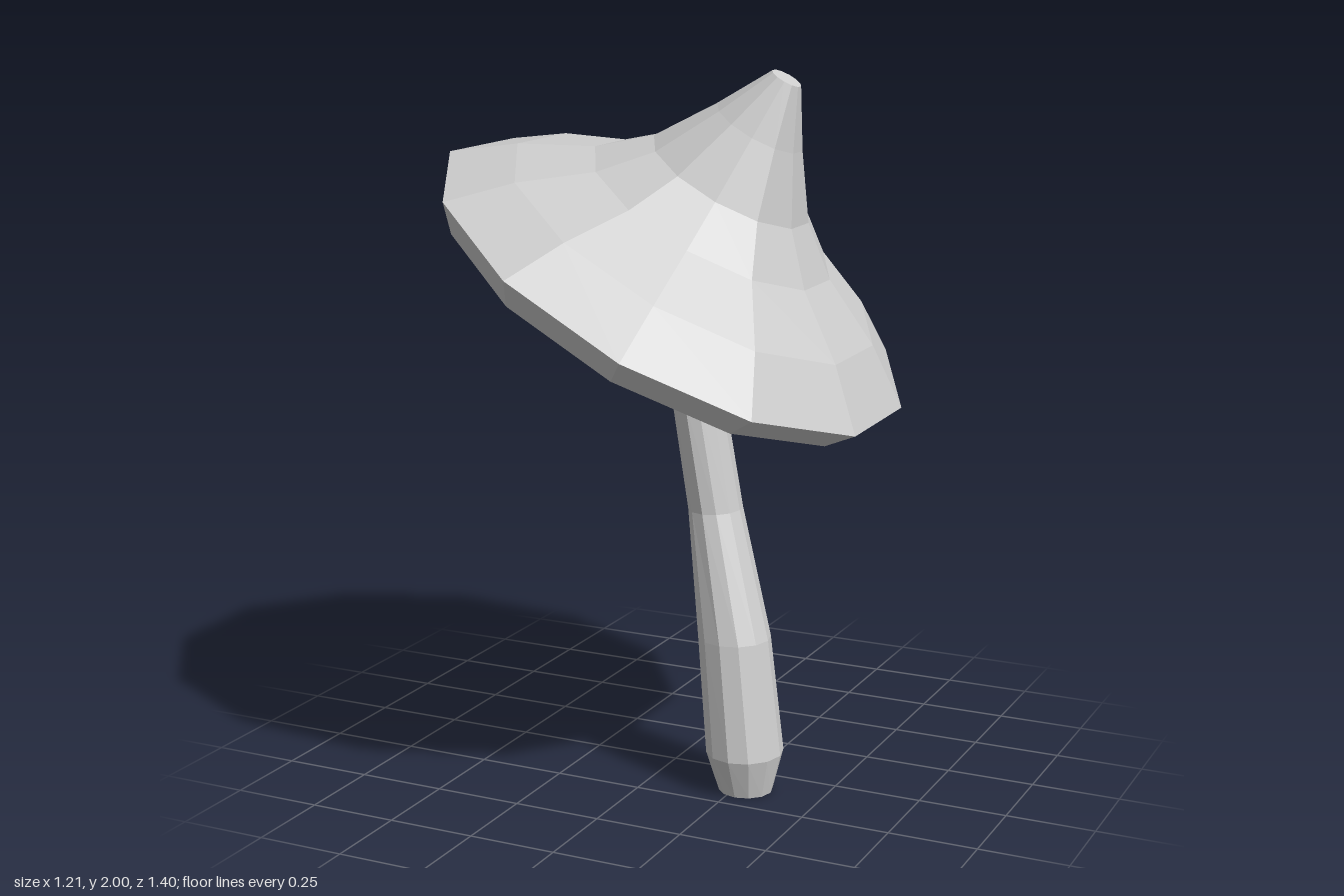
import * as THREE from 'three';

// Skin a stack of rings. Each ring: centre x, y, z, radii rx, rz, and a slope of y along x.
function loft(rings, sides, phase) {
  const pos = [], idx = [];
  for (const { x = 0, y, z = 0, rx, rz = rx, slope = 0 } of rings) {
    for (let i = 0; i < sides; i++) {
      const a = phase + (i / sides) * Math.PI * 2;
      const px = x + rx * Math.cos(a);
      pos.push(px, y + slope * px, z + rz * Math.sin(a));
    }
  }
  for (let j = 0; j < rings.length - 1; j++) {
    for (let i = 0; i < sides; i++) {
      const k = (i + 1) % sides;
      const a = j * sides + i, b = j * sides + k, c = a + sides, d = b + sides;
      if (rings[j + 1].rx > 0) idx.push(a, c, d);
      if (rings[j].rx > 0) idx.push(a, d, b);
    }
  }
  const g = new THREE.BufferGeometry();
  g.setAttribute('position', new THREE.Float32BufferAttribute(pos, 3));
  g.setIndex(idx);
  g.computeVertexNormals();
  return g;
}

export function createModel() {
  const group = new THREE.Group();
  const material = new THREE.MeshStandardMaterial({ color: 0xcccccc, flatShading: true });

  // Cap: shallow hollow underside, slightly skewed lip, thick rim, flared cone with a blunt tip
  const cap = new THREE.Mesh(loft([
    { y: -0.005, rx: 0 },
    { x: 0.06, y: -0.105, rx: 0.56, slope: 0.035 },
    { y: -0.08, rx: 0.66 },
    { y: 0, rx: 0.722 },
    { y: 0.118, rx: 0.564 },
    { y: 0.222, rx: 0.37 },
    { y: 0.333, rx: 0.242 },
    { y: 0.5, rx: 0.132 },
    { y: 0.653, rx: 0.044 },
    { y: 0.653, rx: 0 },
  ], 12, Math.PI / 12 - 0.02), material);
  cap.name = 'cap';
  cap.position.set(0, 1.413, 0);
  cap.rotation.z = -0.526;
  group.add(cap);

  // Stem: bent, thicker towards the foot
  const stem = new THREE.Mesh(loft([
    { x: 0.278, y: 0, z: 0.125, rx: 0 },
    { x: 0.278, y: 0, z: 0.125, rx: 0.076 },
    { x: 0.27, y: 0.11, z: 0.115, rx: 0.108, rz: 0.115 },
    { x: 0.222, y: 0.43, z: 0.083, rx: 0.102, rz: 0.104 },
    { x: 0.137, y: 0.78, z: 0.027, rx: 0.074, rz: 0.09 },
    { x: 0.078, y: 1.1, z: 0.02, rx: 0.07, rz: 0.09 },
    { x: 0.062, y: 1.43, z: 0.018, rx: 0.069, rz: 0.089 },
    { x: 0.062, y: 1.43, z: 0.018, rx: 0 },
  ], 12, 0), material);
  stem.name = 'stem';
  group.add(stem);

  return group;
}
